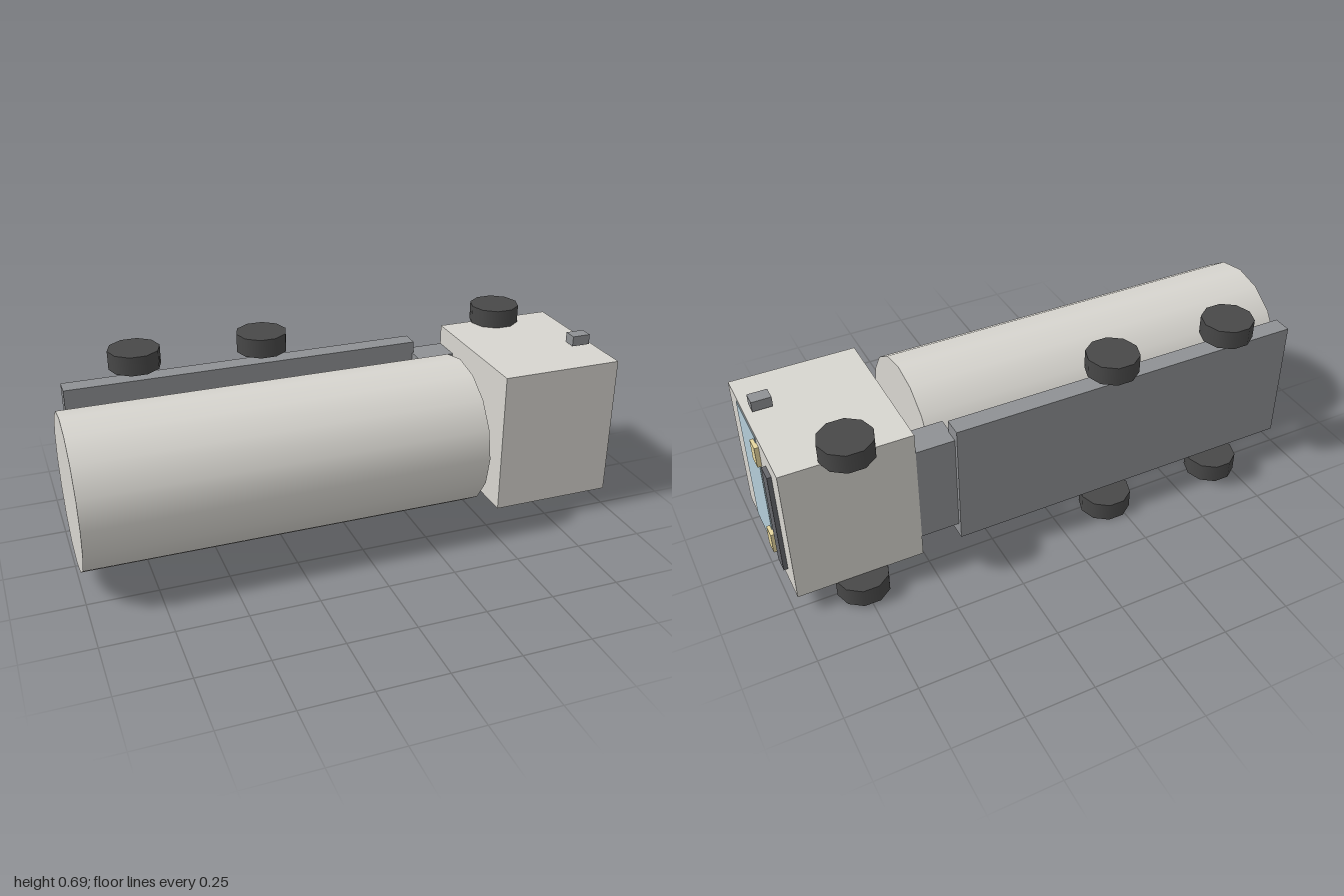
import * as THREE from 'three';

const MID = 0.345; // height of the truck's own centre plane (it lies on its side)
const mat = (color) => new THREE.MeshStandardMaterial({ color });

export function createModel() {
  const group = new THREE.Group();
  group.name = 'tankTruck';
  const body = mat(0xd8d6d0);
  const frame = mat(0x8f9194);
  const rubber = mat(0x484848);
  const dark = mat(0x66676c);
  const lamp = mat(0xe8d8a0);
  const glass = mat(0xb4cdd8);

  const add = (name, geometry, material, x, y, z) => {
    const mesh = new THREE.Mesh(geometry, material);
    mesh.name = name;
    mesh.position.set(x, y, z);
    group.add(mesh);
  };

  // box given by its limits on each axis
  const box = (name, material, [x0, x1], [y0, y1], [z0, z1]) =>
    add(name, new THREE.BoxGeometry(x1 - x0, y1 - y0, z1 - z0), material,
      (x0 + x1) / 2, (y0 + y1) / 2, (z0 + z1) / 2);

  // the same box on both flanks, measured outward from the centre plane
  const pair = (name, material, xs, [d0, d1], zs) => {
    box(name + 'Upper', material, xs, [MID + d0, MID + d1], zs);
    box(name + 'Lower', material, xs, [MID - d1, MID - d0], zs);
  };

  // tank
  const tank = new THREE.CylinderGeometry(0.276, 0.276, 1.44, 16).rotateZ(Math.PI / 2);
  add('tank', tank, body, -0.28, MID, 0.081);

  // chassis and coupling
  box('chassis', frame, [-0.95, 0.39], [0.11, 0.58], [-0.295, -0.225]);
  box('coupling', frame, [0.385, 0.54], [0.16, 0.535], [-0.278, -0.163]);

  // cab and its face
  box('cab', body, [0.53, 0.985], [0.08, 0.61], [-0.279, 0.275]);
  box('windscreen', glass, [0.98, 0.988], [0.09, 0.6], [-0.045, 0.172]);
  box('grille', dark, [0.98, 1], [0.14, 0.55], [-0.198, -0.137]);
  pair('headlight', lamp, [0.98, 1], [0.153, 0.233], [-0.072, -0.02]);
  pair('mirror', frame, [0.89, 0.96], [0.275, 0.313], [0.062, 0.112]);

  // wheels: two trailer axles and one cab axle
  const wheel = new THREE.CylinderGeometry(0.095, 0.095, 0.07, 10).rotateY(Math.PI / 2);
  for (const [x, offset] of [[-0.685, 0.31], [-0.21, 0.31], [0.753, 0.298]]) {
    for (const side of [-1, 1]) {
      add('wheel', wheel, rubber, x, MID + side * offset, -0.267);
    }
  }
  return group;
}
